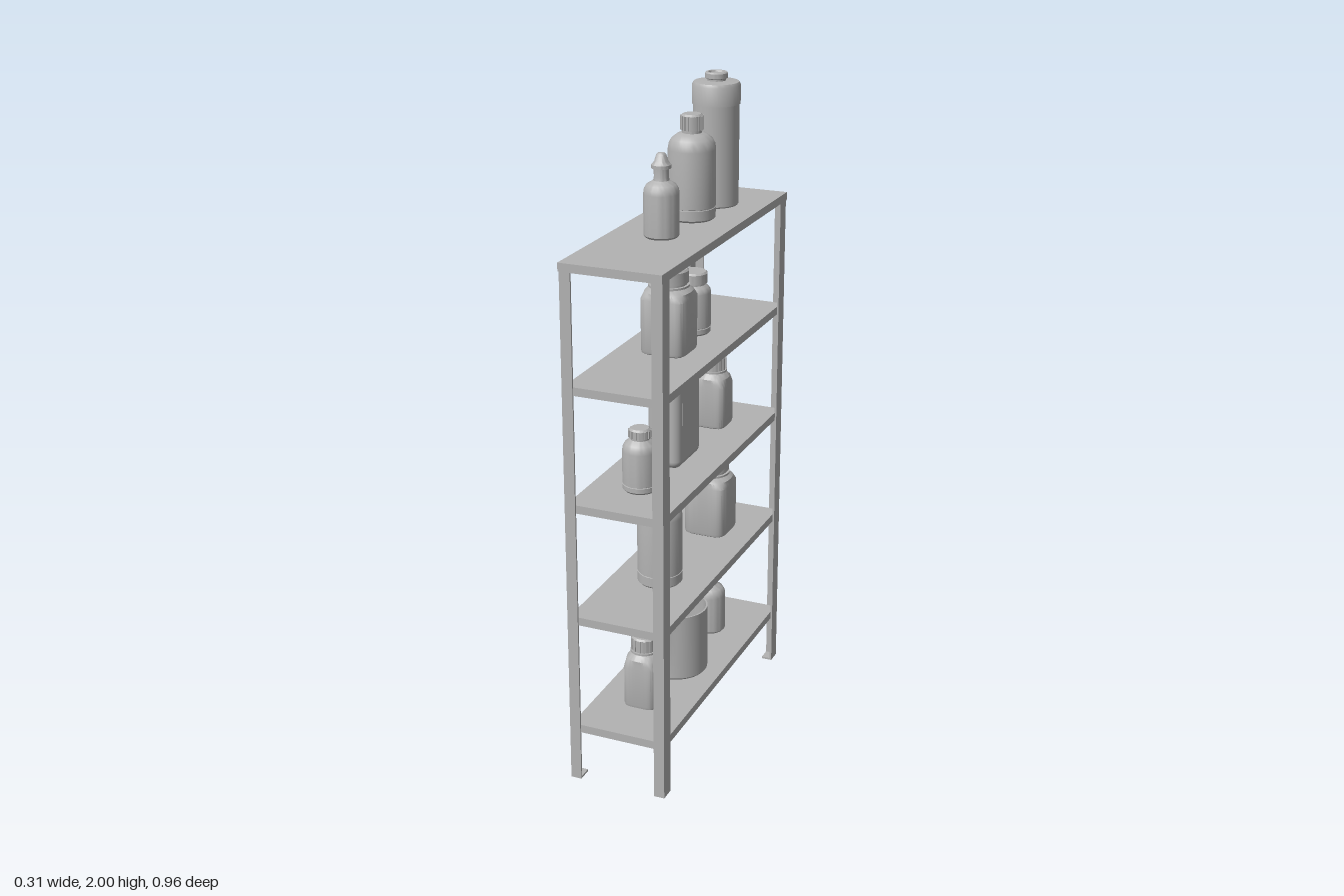
import * as THREE from 'three';
import { toCreasedNormals } from 'three/addons/utils/BufferGeometryUtils.js';
import { RoundedBoxGeometry } from 'three/addons/geometries/RoundedBoxGeometry.js';

const grey = new THREE.MeshStandardMaterial({ color: 0xb2b2b2 });
grey.name = 'plain grey';

function add(parent, name, geometry, x = 0, y = 0, z = 0) {
  const mesh = new THREE.Mesh(geometry, grey);
  mesh.name = name;
  mesh.position.set(x, y, z);
  parent.add(mesh);
  return mesh;
}

function box(parent, name, size, x, y, z) {
  return add(parent, name, new THREE.BoxGeometry(...size), x, y, z);
}

function group(parent, name, x = 0, y = 0, z = 0) {
  const g = new THREE.Group();
  g.name = name;
  g.position.set(x, y, z);
  parent.add(g);
  return g;
}

// Turned solid from [radius, height] pairs; reshape may move each vertex
function turned(profile, reshape, segments = 40) {
  const geo = new THREE.LatheGeometry(profile.map(([r, y]) => new THREE.Vector2(r, y)), segments);
  if (reshape) {
    const p = geo.attributes.position, v = new THREE.Vector3();
    for (let i = 0; i < p.count; i++) {
      v.fromBufferAttribute(p, i);
      reshape(v);
      p.setXYZ(i, v.x, v.y, v.z);
    }
  }
  return toCreasedNormals(geo, 0.6);
}

// Screw cap with optional vertical ribs
function cap(parent, r, y0, y1, ribs = 0) {
  const c = 0.005, core = ribs ? r - 0.003 : r;
  add(parent, 'cap', turned([[0, y0], [core, y0], [core, y1 - c], [core - c, y1], [0, y1]]));
  for (let i = 0; i < ribs; i++) {
    const a = i / ribs * Math.PI * 2;
    box(parent, 'capRib', [r * 2.6 / ribs, y1 - y0 - c, 0.006],
      Math.sin(a) * (r - 0.003), (y0 + y1 - c) / 2, Math.cos(a) * (r - 0.003)).rotation.y = a;
  }
}

// Round bottle: body, curved shoulder, neck and cap
function roundBottle(parent, z, y, { r, body, capR, cap0, h, ribs = 0, ring = 0.035 }) {
  const b = group(parent, 'roundBottle', 0, y, z), n = capR * 0.85, s = cap0 - body;
  add(b, 'body', turned([[0, 0], [r - 0.006, 0], [r, 0.006], [r, ring], [r - 0.002, ring + 0.001],
    [r - 0.002, ring + 0.003], [r, ring + 0.004], [r, body], [r * 0.96, body + s * 0.3],
    [r * 0.85, body + s * 0.55], [Math.max(n, r * 0.62), body + s * 0.78], [n, body + s * 0.85],
    [n, cap0 + 0.004], [0, cap0 + 0.004]]));
  cap(b, capR, cap0, h, ribs);
}

// Rounded square jar: cross-section is square in the body and round at the neck
function squareJar(parent, z, y, { r, body, neck, capR, cap0, h, ribs = 0 }) {
  const j = group(parent, 'squareJar', 0, y, z), n = capR * 0.9;
  const squared = v => {
    const a = Math.atan2(v.x, v.z), k = 5;
    const sq = (Math.abs(Math.sin(a)) ** k + Math.abs(Math.cos(a)) ** k) ** (-1 / k);
    const t = 1 - THREE.MathUtils.smoothstep(v.y, body, neck);
    const s = 1 + (sq - 1) * t;
    v.x *= s;
    v.z *= s;
  };
  const m = neck - body;
  add(j, 'body', turned([[0, 0], [r - 0.008, 0], [r - 0.002, 0.004], [r, 0.012], [r, body],
    [r * 0.97, body + m * 0.3], [r * 0.9 + n * 0.1, body + m * 0.6], [n + (r - n) * 0.4, body + m * 0.85],
    [n, neck], [n, cap0 + 0.003], [0, cap0 + 0.003]], squared, 64));
  add(j, 'neckRing', turned([[0, neck], [capR * 1.04, neck], [capR * 1.04, neck + 0.006], [0, neck + 0.006]]));
  cap(j, capR, cap0, h, ribs);
}

// Bottle with a pointed dropper top
function dropper(parent, z, y) {
  const d = group(parent, 'dropperBottle', 0, y, z);
  add(d, 'body', turned([[0, 0], [0.046, 0], [0.051, 0.006], [0.051, 0.125], [0.049, 0.138],
    [0.042, 0.15], [0.03, 0.157], [0.023, 0.162], [0.021, 0.172], [0.021, 0.198], [0, 0.198]]));
  add(d, 'dropperTop', turned([[0, 0.196], [0.028, 0.196], [0.028, 0.206], [0.02, 0.215],
    [0.014, 0.234], [0.009, 0.239], [0, 0.24]]));
}

export function createModel() {
  const model = new THREE.Group();
  model.name = 'stockedShelf';
  const X = 0.153, Z = 0.48, T = 0.006;
  const levels = [0.183, 0.54, 0.895, 1.25, 1.605];

  // Shelves: thin trays with a folded rim
  levels.forEach((top, i) => {
    const last = i === levels.length - 1;
    const hx = last ? X : X - T, hz = last ? Z : Z - 0.004 - T, h = 0.025;
    const s = group(model, 'shelf', 0, top, 0);
    box(s, 'shelfPanel', [hx * 2, T, hz * 2], 0, -T / 2, 0);
    for (const side of [-1, 1]) {
      box(s, 'longRim', [T, h - T, hz * 2], side * (hx - T / 2), -(h + T) / 2, 0);
      box(s, 'shortRim', [hx * 2 - T * 2, h - T, T], 0, -(h + T) / 2, side * (hz - T / 2));
    }
  });

  // Angle-iron legs with foot plates
  for (const sx of [-1, 1]) for (const sz of [-1, 1]) {
    const leg = group(model, 'leg'), x = X - 0.001, z = Z - 0.005, h = 1.58;
    box(leg, 'sideFlange', [T, h, 0.046], sx * (x - T / 2), h / 2, sz * (z - 0.023));
    box(leg, 'endFlange', [0.033 - T, h, T], sx * (x - T - (0.033 - T) / 2), h / 2, sz * (z - T / 2));
    box(leg, 'footPlate', [0.033 - T, T, 0.046 - T], sx * (x - T - (0.033 - T) / 2), T / 2, sz * (z - T - (0.046 - T) / 2));
  }

  // Top shelf: tall canister, ribbed-cap bottle, dropper
  const can = group(model, 'tallCanister', 0.002, levels[4], -0.268);
  add(can, 'body', turned([[0, 0], [0.066, 0], [0.069, 0.004], [0.069, 0.305], [0, 0.305]]));
  add(can, 'lid', turned([[0, 0.303], [0.072, 0.303], [0.072, 0.358], [0.067, 0.367], [0.036, 0.37], [0, 0.37]]));
  add(can, 'knob', turned([[0, 0.365], [0.028, 0.365], [0.028, 0.375], [0.034, 0.378], [0.034, 0.392],
    [0.031, 0.395], [0.024, 0.395], [0.022, 0.39], [0, 0.39]]));
  roundBottle(model, -0.088, levels[4], { r: 0.07, body: 0.205, capR: 0.034, cap0: 0.26, h: 0.306, ribs: 18 });
  dropper(model, 0.132, levels[4]);

  // Fourth shelf
  const jar = { r: 0.07, body: 0.165, neck: 0.197, capR: 0.058, cap0: 0.21, h: 0.25 };
  squareJar(model, 0.08, levels[3], jar);
  roundBottle(model, -0.103, levels[3], { r: 0.052, body: 0.127, capR: 0.042, cap0: 0.157, h: 0.19, ring: 0.02 });

  // Third shelf, with a flat jug
  const squareBottle = { r: 0.052, body: 0.135, neck: 0.178, capR: 0.04, cap0: 0.186, h: 0.228, ribs: 14 };
  roundBottle(model, 0.29, levels[2], { r: 0.052, body: 0.122, capR: 0.034, cap0: 0.163, h: 0.19, ribs: 14, ring: 0.02 });
  squareJar(model, -0.267, levels[2], squareBottle);
  const jug = group(model, 'flatJug', 0, levels[2], 0.045);
  add(jug, 'body', new RoundedBoxGeometry(0.105, 0.265, 0.175, 5, 0.025), 0, 0.1325, 0);
  add(jug, 'neck', turned([[0, 0.255], [0.044, 0.26], [0.034, 0.276], [0.034, 0.282], [0, 0.282]]));
  cap(jug, 0.039, 0.28, 0.326);
  for (const side of [-1, 1]) box(jug, 'levelStrip', [0.004, 0.07, 0.004], side * 0.052, 0.17, 0.06);

  // Second shelf
  roundBottle(model, 0.153, levels[1], { r: 0.068, body: 0.215, capR: 0.031, cap0: 0.262, h: 0.3 });
  squareJar(model, -0.249, levels[1], jar);

  // Bottom shelf, with a spouted beaker holding two rods
  squareJar(model, 0.272, levels[0], squareBottle);
  dropper(model, -0.247, levels[0]);
  const beaker = group(model, 'beaker', 0, levels[0], 0.028);
  add(beaker, 'beakerCup', turned([[0, 0], [0.092, 0], [0.097, 0.006], [0.097, 0.165], [0.097, 0.19],
    [0.097, 0.215], [0.092, 0.215], [0.092, 0.19], [0.092, 0.165], [0.092, 0.008], [0, 0.008]], v => {
    const a = Math.atan2(v.x, v.z);
    v.z += 0.022 * Math.exp(-((a / 0.2) ** 2)) * THREE.MathUtils.smoothstep(v.y, 0.165, 0.215);
  }, 64));
  for (const [top, foot] of [[0.045, 0.02], [0.003, 0.035]]) {
    const a = new THREE.Vector3(-0.03, 0.015, foot), b = new THREE.Vector3(-0.062, 0.302, top);
    const mid = a.clone().add(b).multiplyScalar(0.5), dir = b.clone().sub(a);
    const rod = add(beaker, 'rod', new THREE.CylinderGeometry(0.018, 0.018, dir.length(), 20), mid.x, mid.y, mid.z);
    rod.quaternion.setFromUnitVectors(new THREE.Vector3(0, 1, 0), dir.normalize());
  }
  return model;
}
